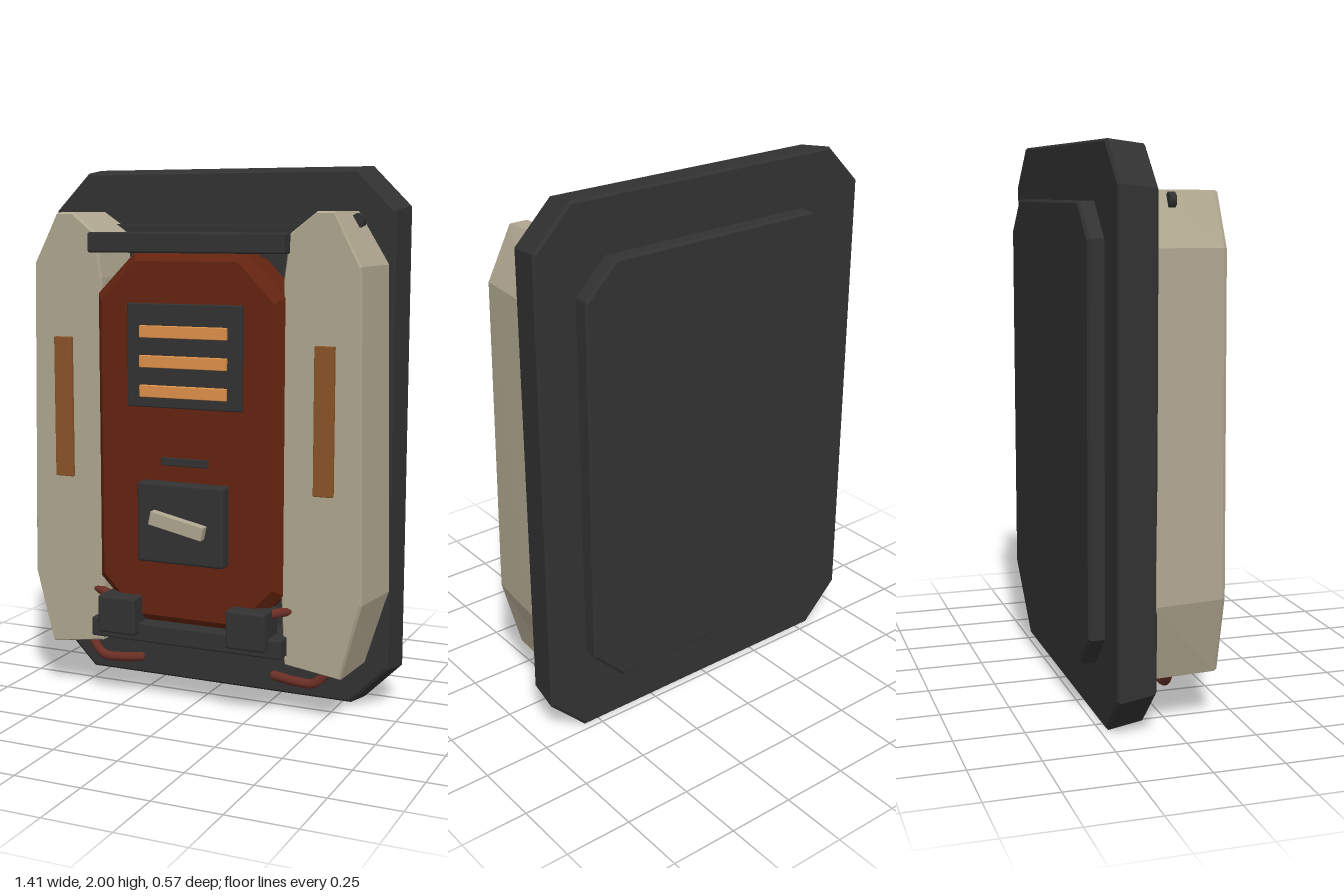
import * as THREE from 'three';
import { RoundedBoxGeometry } from 'three/addons/geometries/RoundedBoxGeometry.js';

const mat = (name, color) => {
  const m = new THREE.MeshStandardMaterial({ color });
  m.name = name;
  return m;
};

// Octagon with cut corners, counter-clockwise from the front
const octagon = (w, y0, y1, c) => [
  [-w + c, y0], [w - c, y0], [w, y0 + c], [w, y1 - c],
  [w - c, y1], [-w + c, y1], [-w, y1 - c], [-w, y0 + c],
];

// Joins scaled copies of an outline; layers are [z, scaleX, scaleY] from back to front
function loft(outline, cx, cy, layers) {
  const rings = layers.map(([z, sx, sy]) =>
    outline.map(([x, y]) => new THREE.Vector3(cx + (x - cx) * sx, cy + (y - cy) * sy, z)));
  const pts = [];
  const n = outline.length;
  for (let k = 0; k < rings.length - 1; k++) {
    const a = rings[k], b = rings[k + 1];
    for (let i = 0; i < n; i++) {
      const j = (i + 1) % n;
      pts.push(a[i], a[j], b[j], a[i], b[j], b[i]);
    }
  }
  const caps = THREE.ShapeUtils.triangulateShape(outline.map(([x, y]) => new THREE.Vector2(x, y)), []);
  const back = rings[0], front = rings[rings.length - 1];
  for (const [i, j, k] of caps) pts.push(front[i], front[j], front[k], back[i], back[k], back[j]);
  const g = new THREE.BufferGeometry().setFromPoints(pts);
  g.computeVertexNormals();
  return g;
}

export function createModel() {
  const group = new THREE.Group();
  const dark = mat('charcoal', 0x323232);
  const cream = mat('warm grey', 0xb0a790);
  const red = mat('rust red', 0x642410);
  const orange = mat('orange', 0xe0924a);
  const brown = mat('amber brown', 0x8a5526);
  const hose = mat('hose red', 0x6b2f26);

  const add = (name, geometry, material) => {
    const m = new THREE.Mesh(geometry, material);
    m.name = name;
    group.add(m);
    return m;
  };
  // Box given by its limits, with slightly softened edges
  const box = (name, x0, x1, y0, y1, z0, z1, material, r = 0.008) => {
    const g = new RoundedBoxGeometry(x1 - x0, y1 - y0, z1 - z0, 2, r);
    g.translate((x0 + x1) / 2, (y0 + y1) / 2, (z0 + z1) / 2);
    return add(name, g, material);
  };

  // Back plates and raised inner plate
  add('basePlate', loft(octagon(0.705, 0, 2, 0.145), 0, 1, [
    [-0.228, 0.988, 0.992], [-0.22, 1, 1], [-0.093, 0.975, 0.985], [-0.085, 0.962, 0.977],
  ]), dark);
  add('rearPlate', loft(octagon(0.55, 0.2, 1.8, 0.12), 0, 1, [
    [-0.286, 0.985, 0.99], [-0.278, 1, 1], [-0.22, 1, 1],
  ]), dark);
  add('innerPlate', loft(octagon(0.55, 0.21, 1.79, 0.11), 0, 1, [
    [-0.09, 1, 1], [-0.065, 1, 1], [-0.05, 0.97, 0.98],
  ]), dark);
  box('upperSeam', -0.555, 0.555, 1.775, 1.793, -0.09, -0.05, dark, 0.003);

  // Central door with bevelled rim
  add('door', loft(octagon(0.37, 0.32, 1.69, 0.15), 0, 1.005, [
    [-0.055, 0.95, 0.97], [0.03, 0.95, 0.97], [0.06, 1, 1], [0.165, 1, 1], [0.2, 0.92, 0.957],
  ]), red);

  // Cross rails
  box('topRail', -0.385, 0.385, 1.69, 1.763, 0.03, 0.225, dark);
  box('bottomRail', -0.385, 0.385, 0.247, 0.32, 0.03, 0.225, dark);

  // Vent with three slats
  box('ventPanel', -0.228, 0.225, 1.133, 1.51, 0.185, 0.215, dark, 0.005);
  for (const y of [1.193, 1.301, 1.409])
    box('ventSlat', -0.173, 0.17, y - 0.022, y + 0.022, 0.2, 0.23, orange, 0.003);

  // Slot, lock panel and turned handle
  box('slot', -0.097, 0.09, 0.92, 0.95, 0.19, 0.207, dark, 0.003);
  box('lockPanel', -0.173, 0.17, 0.565, 0.862, 0.18, 0.254, dark, 0.01);
  const handle = add('handle', new RoundedBoxGeometry(0.215, 0.052, 0.05, 2, 0.003), cream);
  handle.position.set(-0.003, 0.716, 0.26);
  handle.rotation.z = -0.21;

  // Side shells and their fittings, mirrored
  const shell = [
    [0.35, 0.21], [0.6, 0.18], [0.687, 0.46], [0.665, 1.65], [0.55, 1.838],
    [0.475, 1.838], [0.36, 1.762], [0.335, 1.6], [0.335, 0.45],
  ];
  for (const s of [1, -1]) {
    const outline = s > 0 ? shell : shell.map(([x, y]) => [-x, y]).reverse();
    add('sideShell', loft(outline, s * 0.51, 1.01, [
      [-0.09, 1, 1], [0.155, 0.86, 0.997], [0.166, 0.82, 0.99],
    ]), cream);
    const span = (name, a, b, ...rest) => box(name, Math.min(s * a, s * b), Math.max(s * a, s * b), ...rest);
    span('sideStrip', 0.482, 0.556, 0.845, 1.375, 0.155, 0.18, brown, 0.003);
    span('clip', 0.183, 0.336, 0.278, 0.42, 0.13, 0.265, dark, 0.01);

    const bolt = add('bolt', new THREE.CylinderGeometry(0.028, 0.028, 0.024, 6), dark);
    bolt.rotation.x = Math.PI / 2;
    bolt.position.set(s * 0.573, 1.803, -0.006);

    // Hoses below the shell and beside the clip
    const tube = (name, pts) => add(name, new THREE.TubeGeometry(
      new THREE.CatmullRomCurve3(pts.map(([x, y, z]) => new THREE.Vector3(s * x, y, z))), 20, 0.018, 10), hose);
    tube('lowerHose', [[0.52, 0.25, 0.02], [0.49, 0.16, 0.02], [0.44, 0.11, 0.025], [0.37, 0.107, 0.025], [0.28, 0.117, 0.02]]);
    const end = add('hoseEnd', new THREE.SphereGeometry(0.018, 10, 6), hose);
    end.position.set(s * 0.28, 0.117, 0.02);
    tube('upperHose', [[0.42, 0.42, 0.14], [0.36, 0.407, 0.165], [0.3, 0.39, 0.18], [0.25, 0.36, 0.18]]);
  }
  return group;
}
